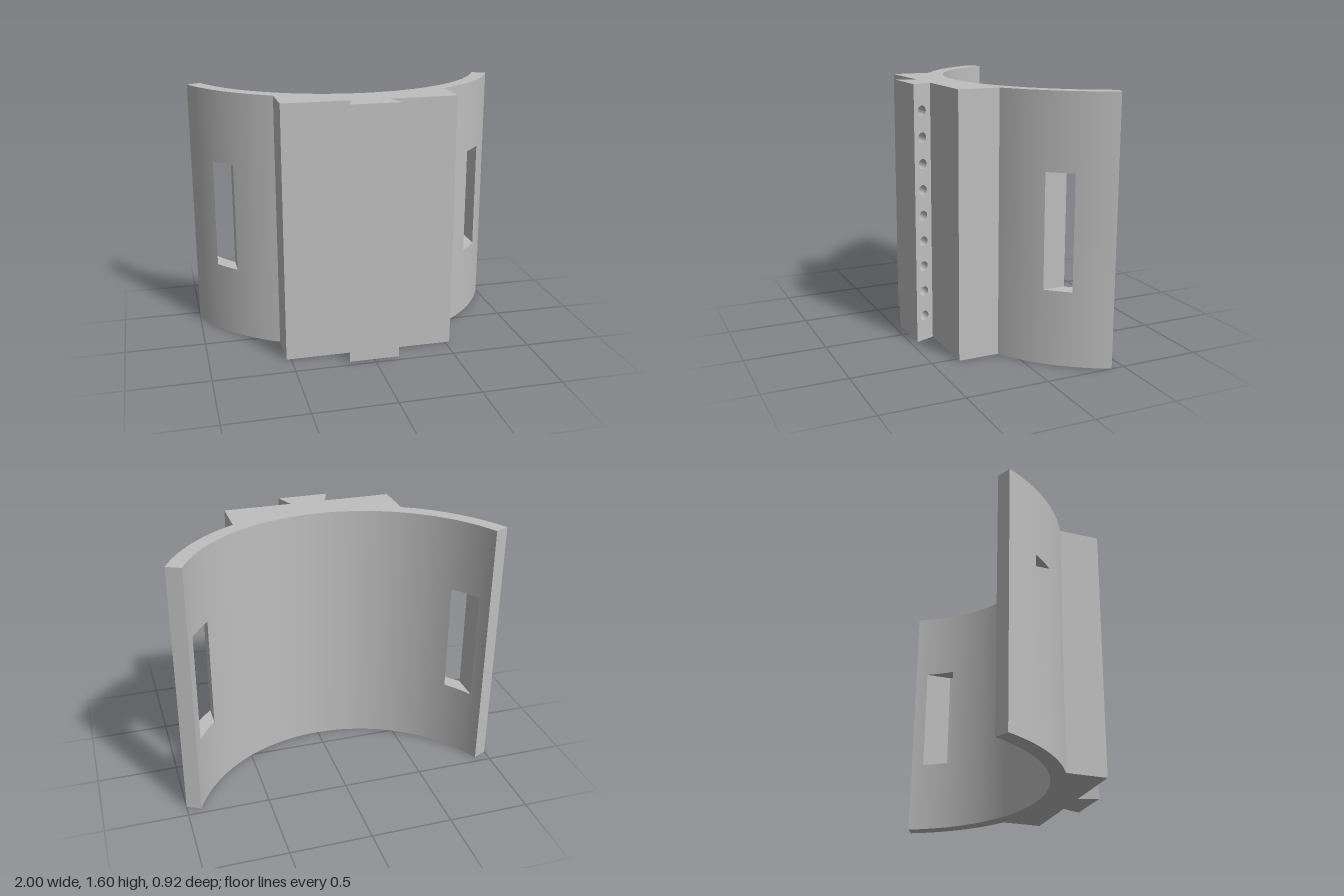
import * as THREE from 'three';
import { toCreasedNormals } from 'three/addons/utils/BufferGeometryUtils.js';

const HEIGHT = 1.6;
const CZ = -0.883, R_IN = 1.008, R_OUT = 1.102;   // arc centre and radii
const BLOCK_X = 0.53, BLOCK_Z = 0.337;            // backing block
const TAIL_Z = 0.458, ROOT = 0.11, TIP = 0.157;   // dovetail rail
const SLOT_X0 = 0.765, SLOT_X1 = 0.878, SLOT_Y0 = 0.455, SLOT_Y1 = 1.145;

// Points [x, z] along an arc, passing exactly through the given x stops
function arc(r, stops, counts) {
  const pts = [];
  stops.forEach((x, i) => {
    if (i === 0) return;
    const a = Math.asin(stops[i - 1] / r), b = Math.asin(x / r), n = counts[i - 1];
    for (let k = i === 1 ? 0 : 1; k <= n; k++) {
      const t = a + (b - a) * k / n;
      pts.push([r * Math.sin(t), CZ + r * Math.cos(t)]);
    }
  });
  return pts;
}

const mirror = (pts) => pts.map(([x, z]) => [-x, z]).reverse();

// Collects triangles for upright walls and flat caps
function builder() {
  const pos = [];
  return {
    wall(a, b, y0, y1) {
      pos.push(a[0], y0, a[1], b[0], y0, b[1], b[0], y1, b[1]);
      pos.push(a[0], y0, a[1], b[0], y1, b[1], a[0], y1, a[1]);
    },
    cap(pts, y, up) {
      const contour = pts.map(([x, z]) => new THREE.Vector2(x, -z));
      for (const f of THREE.ShapeUtils.triangulateShape(contour, [])) {
        const [a, b, c] = f.map((i) => contour[i]);
        const ccw = (b.x - a.x) * (c.y - a.y) - (b.y - a.y) * (c.x - a.x) > 0;
        for (const p of ccw === up ? [a, b, c] : [a, c, b]) pos.push(p.x, y, -p.y);
      }
    },
    geometry() {
      const g = new THREE.BufferGeometry();
      g.setAttribute('position', new THREE.Float32BufferAttribute(pos, 3));
      return toCreasedNormals(g, 0.3);
    },
  };
}

// Curved cradle and its block in one section, with a slot through each wing
function cradleGeometry() {
  const b = builder();
  const endAngle = Math.asin(1 / R_OUT);
  const inEnd = R_IN * Math.sin(endAngle);
  const outer = arc(R_OUT, [BLOCK_X, SLOT_X0, SLOT_X1, 1], [12, 6, 8]);
  const inner = arc(R_IN, [0, SLOT_X0, SLOT_X1, inEnd], [30, 7, 4]);
  const outline = [
    [-BLOCK_X, BLOCK_Z], [BLOCK_X, BLOCK_Z],
    ...outer, ...inner.slice().reverse(),
    ...mirror(inner).reverse().slice(1), ...mirror(outer),
  ];

  const inSlot = ([x]) => Math.abs(x) > SLOT_X0 - 1e-5 && Math.abs(x) < SLOT_X1 + 1e-5;
  outline.forEach((p, i) => {
    const q = outline[(i + 1) % outline.length];
    if (inSlot(p) && inSlot(q)) {
      b.wall(p, q, 0, SLOT_Y0);
      b.wall(p, q, SLOT_Y1, HEIGHT);
    } else b.wall(p, q, 0, HEIGHT);
  });
  b.cap(outline, 0, false);
  b.cap(outline, HEIGHT, true);

  // Slot linings
  const so = arc(R_OUT, [SLOT_X0, SLOT_X1], [6]);
  const si = arc(R_IN, [SLOT_X0, SLOT_X1], [7]).reverse();
  const right = [...so, ...si];
  for (const loop of [right, mirror(right)]) {
    b.cap(loop, SLOT_Y0, true);
    b.cap(loop, SLOT_Y1, false);
    loop.forEach((p, i) => {
      const q = loop[(i + 1) % loop.length];
      if (Math.abs(p[0] - q[0]) < 1e-5) b.wall(q, p, SLOT_Y0, SLOT_Y1);
    });
  }
  return b.geometry();
}

// Dovetail rail: side profile with cross holes, flared towards the front
function railGeometry() {
  const shape = new THREE.Shape();
  shape.moveTo(-TAIL_Z, 0).lineTo(-BLOCK_Z, 0).lineTo(-BLOCK_Z, HEIGHT).lineTo(-TAIL_Z, HEIGHT).closePath();
  for (let i = 1; i <= 9; i++) {
    shape.holes.push(new THREE.Path().absarc(-0.4, 0.16 * i, 0.03, 0, Math.PI * 2, true));
  }
  const g = new THREE.ExtrudeGeometry(shape, { depth: 2, bevelEnabled: false, curveSegments: 24 });
  g.translate(0, 0, -1).rotateY(Math.PI / 2);
  const p = g.attributes.position;
  for (let i = 0; i < p.count; i++) {
    const t = (p.getZ(i) - BLOCK_Z) / (TAIL_Z - BLOCK_Z);
    p.setX(i, p.getX(i) * (ROOT + (TIP - ROOT) * t));
  }
  return toCreasedNormals(g, 0.5);
}

export function createModel() {
  const grey = new THREE.MeshStandardMaterial({ color: 0xbfbfbf });
  grey.name = 'grey';
  const group = new THREE.Group();
  group.name = 'slottedCradle';
  const add = (name, geometry) => {
    const mesh = new THREE.Mesh(geometry, grey);
    mesh.name = name;
    group.add(mesh);
  };
  add('curvedCradle', cradleGeometry());
  add('dovetailRail', railGeometry());
  return group;
}
